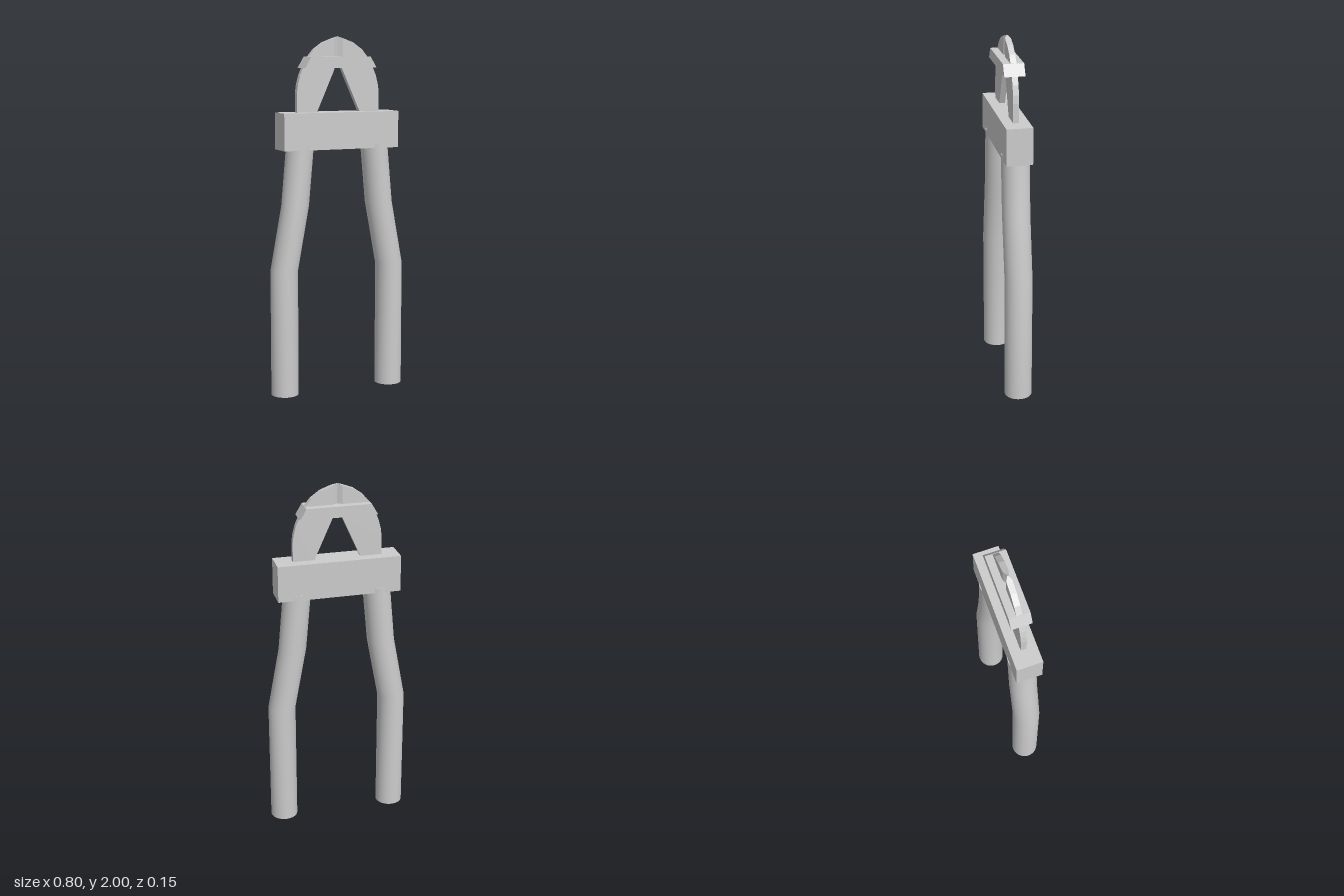
import * as THREE from 'three';
import { toCreasedNormals } from 'three/addons/utils/BufferGeometryUtils.js';

const material = new THREE.MeshStandardMaterial({ color: 0xcccccc });

// Solid plate cut from an outline, centred on z = 0
function plate(points, depth) {
  const shape = new THREE.Shape(points.map(([x, y]) => new THREE.Vector2(x, y)));
  return new THREE.ExtrudeGeometry(shape, { depth, bevelEnabled: false }).translate(0, 0, -depth / 2);
}

// Bent round bar: the rings of a cylinder are slid onto [x, y] stations
function bentBar(stations, radius) {
  const n = stations.length - 1;
  const geo = new THREE.CylinderGeometry(radius, radius, n, 32, n);
  const pos = geo.attributes.position;
  for (let i = 0; i < pos.count; i++) {
    const [x, y] = stations[Math.round(pos.getY(i) + n / 2)];
    pos.setX(i, pos.getX(i) + x);
    pos.setY(i, y);
  }
  return toCreasedNormals(geo, 0.7);
}

// Cutting edge: a strip whose thickness runs out to nothing at x = 0
function bladeEdge(points, depth) {
  const geo = plate(points, depth);
  const pos = geo.attributes.position;
  for (let i = 0; i < pos.count; i++) {
    if (Math.abs(pos.getX(i)) < 1e-4) pos.setZ(i, 0);
  }
  geo.computeVertexNormals();
  return geo;
}

export function createModel() {
  const model = new THREE.Group();
  model.name = 'boltCutter';
  const add = (name, geometry) => {
    const mesh = new THREE.Mesh(geometry, material);
    mesh.name = name;
    model.add(mesh);
    return mesh;
  };

  const thickness = 0.032;
  for (const [side, s] of [['left', 1], ['right', -1]]) {
    const mirror = (pts) => pts.map(([x, y]) => [x * s, y]);

    // Handle, straight below and leaning inwards above
    add(side + 'Handle', bentBar(mirror([[0.322, 0], [0.322, 0.71], [0.255, 1.07], [0.224, 1.41]]), 0.077));

    // Curved jaw
    add(side + 'Jaw', plate(mirror([
      [0.135, 1.57], [0.247, 1.57], [0.247, 1.69], [0.241, 1.735], [0.228, 1.785], [0.207, 1.835],
      [0.178, 1.885], [0.143, 1.928], [0.09, 1.966], [0.028, 1.989], [0.028, 1.81],
    ]), thickness));

    // Sharpened inner edge of the jaw
    add(side + 'BladeEdge', bladeEdge(mirror([
      [0.028, 1.81], [0.028, 1.989], [0, 2], [0, 1.87],
    ]), thickness));
  }

  // Pivot block holding the jaws and handles
  add('pivotBlock', new THREE.BoxGeometry(0.686, 0.204, 0.144)).position.y = 1.483;

  // Cross strap over the jaws, with slanted ends
  add('jawStrap', plate([[-0.214, 1.827], [0.214, 1.827], [0.178, 1.888], [-0.178, 1.888]], 0.113));

  return model;
}
